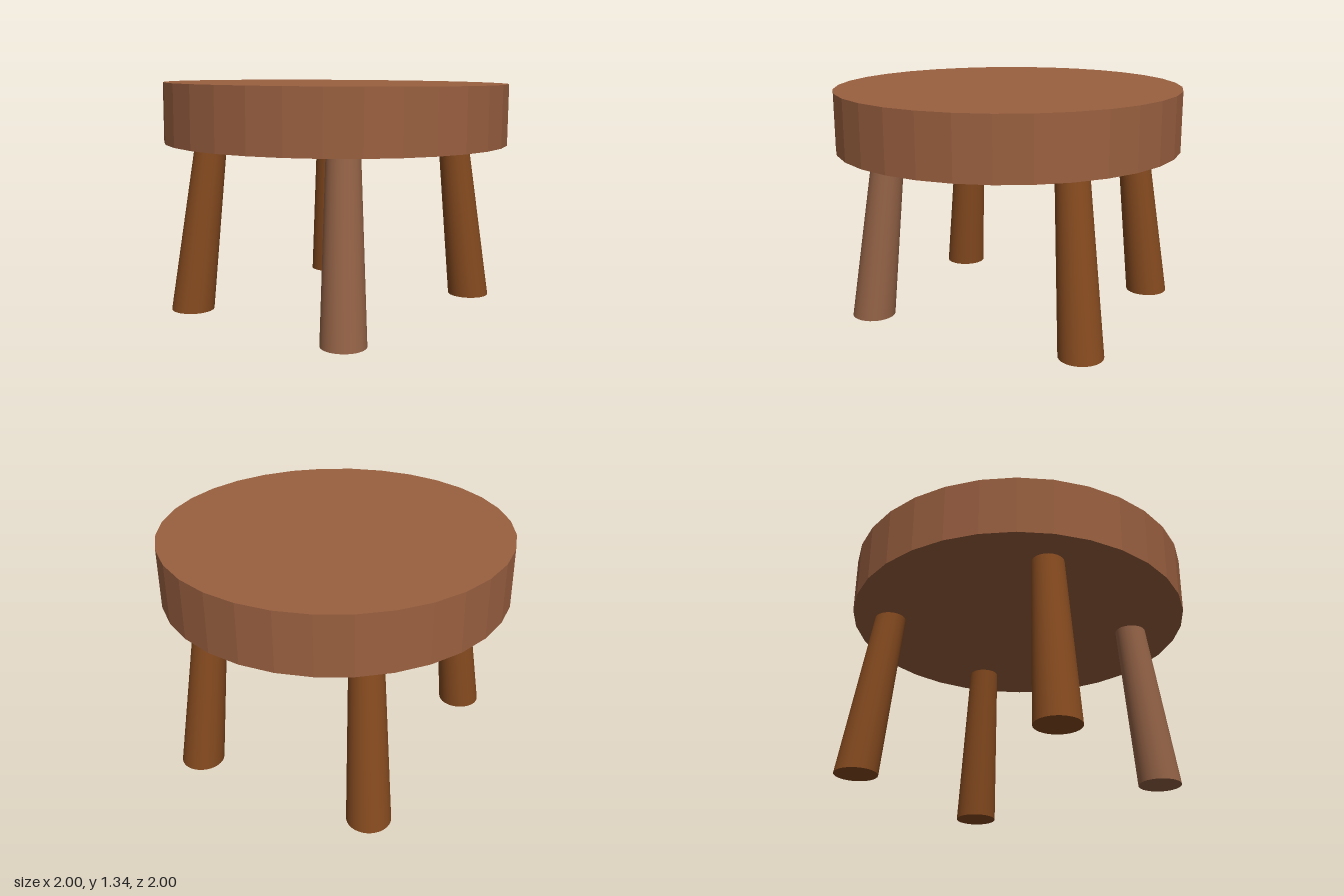
import * as THREE from 'three';

const SEAT_BOTTOM = 0.9875, SEAT_HEIGHT = 0.343;

// Tapered leg whose ends stay level while its axis leans from foot to top
function makeLeg(foot, top, material) {
  const height = SEAT_BOTTOM + 0.01;
  const geometry = new THREE.CylinderGeometry(0.091, 0.124, height, 32);
  geometry.translate(0, height / 2, 0);
  const shear = new THREE.Matrix4().set(
    1, (top[0] - foot[0]) / height, 0, foot[0],
    0, 1, 0, 0,
    0, (top[1] - foot[1]) / height, 1, foot[1],
    0, 0, 0, 1);
  geometry.applyMatrix4(shear);
  return new THREE.Mesh(geometry, material);
}

export function createModel() {
  const model = new THREE.Group();
  model.name = 'stool';
  const stool = new THREE.Group();
  stool.name = 'stoolBody';
  model.add(stool);

  const seatWood = new THREE.MeshStandardMaterial({ color: 0x9a6040, flatShading: true });
  const legWood = new THREE.MeshStandardMaterial({ color: 0x854a1f });
  const paleWood = new THREE.MeshStandardMaterial({ color: 0x936246 });

  // Thick faceted round seat
  const seat = new THREE.Mesh(new THREE.CylinderGeometry(1, 1, SEAT_HEIGHT, 32), seatWood);
  seat.name = 'seat';
  seat.position.set(0, SEAT_BOTTOM + SEAT_HEIGHT / 2, -0.003);
  stool.add(seat);

  // Four splayed legs, set slightly off the seat centre; one is paler
  for (const sx of [1, -1]) {
    for (const sz of [1, -1]) {
      const foot = [sx * 0.556 - 0.02, sz * 0.6625 - 0.0375];
      const top = [sx * 0.4775 - 0.0215, sz * 0.565 - 0.035];
      const leg = makeLeg(foot, top, sx > 0 && sz > 0 ? paleWood : legWood);
      leg.name = (sz > 0 ? 'front' : 'back') + (sx > 0 ? 'Left' : 'Right') + 'Leg';
      stool.add(leg);
    }
  }

  // Slight sideways lean of the whole stool
  stool.rotation.z = -0.0075;
  stool.position.set(-0.0087, 0.005, 0);
  return model;
}
